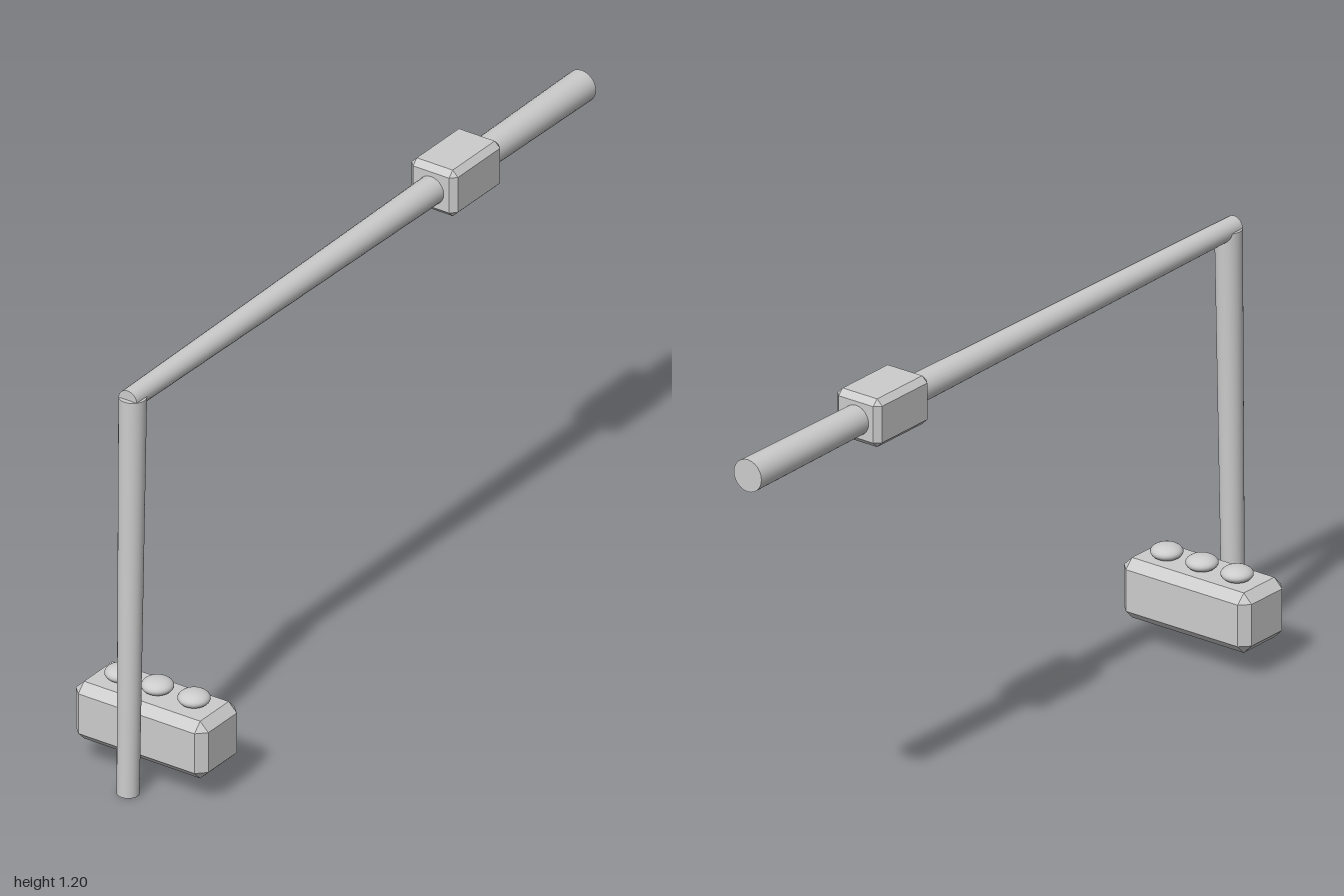
import * as THREE from 'three';
import { ConvexGeometry } from 'three/addons/geometries/ConvexGeometry.js';

const grey = new THREE.MeshStandardMaterial({ color: 0xcccccc });
grey.name = 'plain grey';

// Box with flat 45 degree chamfers on every edge and cut corners
function chamferBox(w, h, d, c) {
  const points = [];
  for (const x of [-1, 1]) for (const y of [-1, 1]) for (const z of [-1, 1]) {
    for (const k of [0, 1, 2]) {
      points.push(new THREE.Vector3(
        x * (w / 2 - (k === 0 ? 0 : c)),
        y * (h / 2 - (k === 1 ? 0 : c)),
        z * (d / 2 - (k === 2 ? 0 : c))));
    }
  }
  return new ConvexGeometry(points);
}

// Tapered round bar from point a to point b
function bar(a, b, ra, rb) {
  const axis = b.clone().sub(a);
  const geometry = new THREE.CylinderGeometry(rb, ra, axis.length(), 24);
  geometry.applyQuaternion(new THREE.Quaternion().setFromUnitVectors(
    new THREE.Vector3(0, 1, 0), axis.clone().normalize()));
  geometry.translate(...a.clone().add(b).multiplyScalar(0.5).toArray());
  return geometry;
}

export function createModel() {
  const model = new THREE.Group();
  model.name = 'boomArm';
  const add = (name, geometry, x = 0, y = 0, z = 0) => {
    const mesh = new THREE.Mesh(geometry, grey);
    mesh.name = name;
    mesh.position.set(x, y, z);
    model.add(mesh);
  };

  // Long boom, thicker at the back
  add('boom', bar(new THREE.Vector3(0, 1.13, -1), new THREE.Vector3(0, 1.128, 0.973), 0.044, 0.028));

  // Hanging pole, leaning slightly and thinner at the bottom
  add('hangingPole', bar(new THREE.Vector3(0, 0, 0.971), new THREE.Vector3(0, 1.129, 0.951), 0.029, 0.036));

  // Block around the boom
  add('boomBlock', chamferBox(0.142, 0.132, 0.215, 0.016), 0, 1.131, -0.453);

  // Control box behind the pole with three flattened buttons on top
  add('controlBox', chamferBox(0.406, 0.164, 0.174, 0.025), 0, 0.154, 0.848);
  for (const x of [-0.112, 0, 0.112]) {
    const button = new THREE.SphereGeometry(0.042, 24, 16);
    button.scale(1, 0.5, 1);
    add('button', button, x, 0.252, 0.843);
  }
  return model;
}
